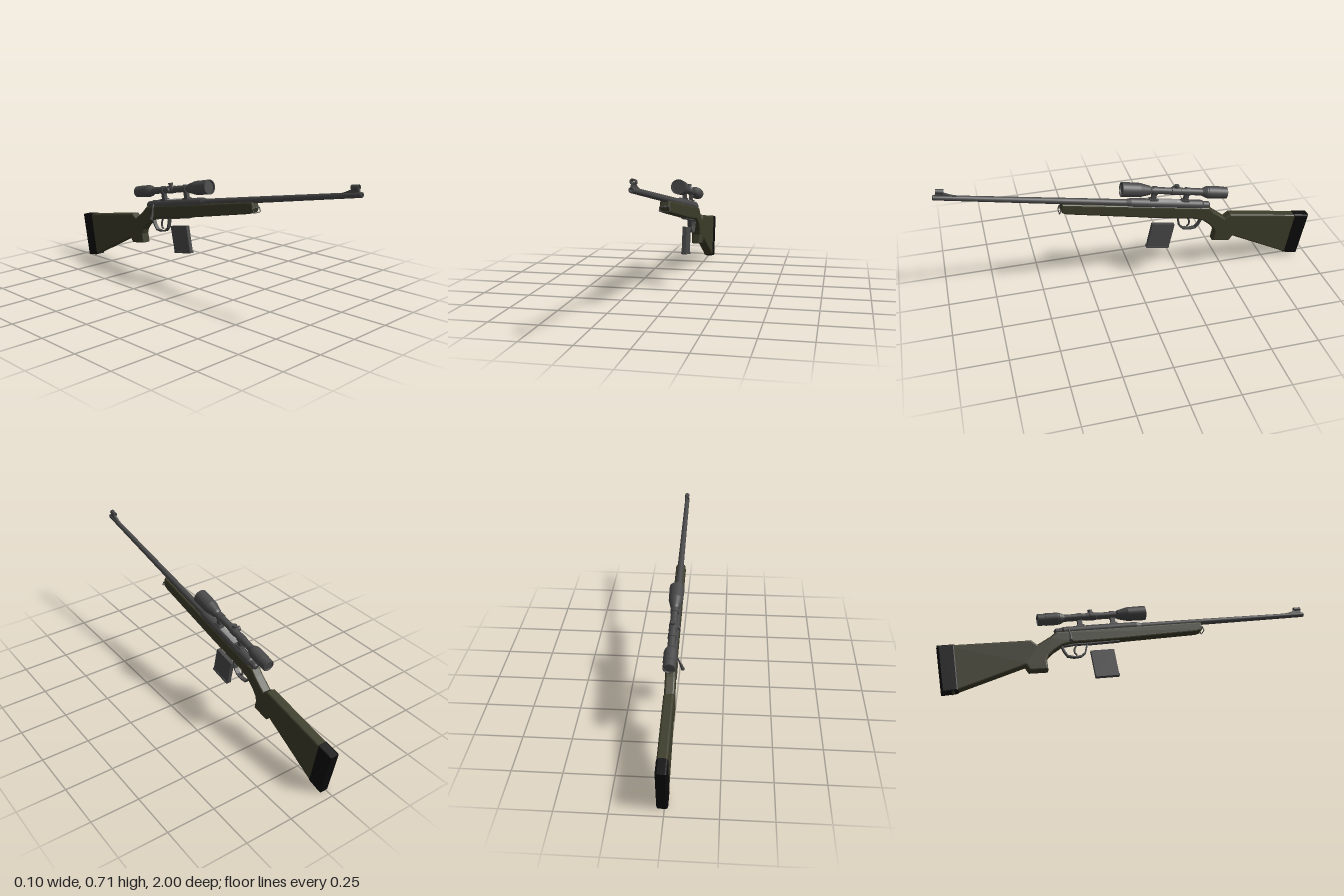
import * as THREE from 'three';

const mat = (name, color, side = THREE.FrontSide) => {
  const m = new THREE.MeshStandardMaterial({ color, side });
  m.name = name;
  return m;
};

export function createModel() {
  const metal = mat('gunmetal', 0x484848, THREE.DoubleSide);
  const olive = mat('olive stock', 0x3c3c2a);
  const black = mat('black rubber', 0x0b0b0b);
  const steel = mat('bright steel', 0x909090, THREE.DoubleSide);

  const model = new THREE.Group();
  model.name = 'rifle';
  const body = new THREE.Group(); // centre plane of the rifle
  body.name = 'body';
  body.position.x = 0.01;
  model.add(body);
  // Tilted frame whose z axis is the bore
  const bore = new THREE.Group();
  bore.name = 'boreAssembly';
  bore.position.y = 0.475;
  bore.rotation.x = -Math.atan(0.19);
  body.add(bore);

  const add = (parent, name, geo, material) => {
    const m = new THREE.Mesh(geo, material);
    m.name = name;
    parent.add(m);
    return m;
  };
  // Side profile of [z, y] points, extruded across x
  const plate = (pts, width, bevel = 0, grow = 0, hole = null) => {
    const shape = new THREE.Shape(pts.map(p => new THREE.Vector2(...p)));
    if (hole) shape.holes.push(new THREE.Path(hole.map(p => new THREE.Vector2(...p))));
    const depth = width - 2 * bevel;
    return new THREE.ExtrudeGeometry(shape, {
      depth, bevelEnabled: bevel > 0, bevelThickness: bevel, bevelSize: bevel,
      bevelOffset: grow - bevel, bevelSegments: 3,
    }).translate(0, 0, -depth / 2).rotateY(-Math.PI / 2);
  };
  // Turned part along z; each profile run is separate so its edges stay sharp
  const turned = (parent, name, pts, material, y = 0, seg = 24) => {
    const g = new THREE.Group();
    g.name = name;
    g.position.y = y;
    for (let i = 0; i < pts.length - 1; i++) {
      const run = [pts[i], pts[i + 1]].map(p => new THREE.Vector2(...p));
      add(g, name + 'Section', new THREE.LatheGeometry(run, seg).rotateX(Math.PI / 2), material);
    }
    parent.add(g);
    return g;
  };
  const tube = (parent, name, pts, r, material, closed = false, tension = 0.3) => add(parent, name,
    new THREE.TubeGeometry(new THREE.CatmullRomCurve3(pts.map(p => new THREE.Vector3(...p)),
      closed, 'catmullrom', tension), 40, r, 8, closed), material);

  // Stock and butt pad
  add(body, 'stock', plate([
    [0.378, 0.538], [0.388, 0.505], [0.38, 0.485], [0.356, 0.474], [-0.072, 0.383],
    [-0.233, 0.352], [-0.32, 0.337], [-0.375, 0.315], [-0.415, 0.281], [-0.44, 0.25],
    [-0.447, 0.225], [-0.437, 0.174], [-0.533, 0.158], [-0.554, 0.185], [-0.9, 0.008],
    [-0.94, 0.258], [-0.533, 0.329], [-0.502, 0.308], [-0.437, 0.361], [-0.41, 0.39],
  ], 0.052, 0.01), olive);
  add(body, 'buttPad', plate([
    [-0.913, 0.2635], [-0.871, 0.0205], [-0.95, 0.002], [-0.997, 0.248],
  ], 0.055, 0.01, 0.002), black);

  // Barrel and receiver
  turned(bore, 'barrel', [[0.018, 0], [0.0165, 0.38], [0.013, 1.012], [0.011, 1.016],
    [0.007, 1.016], [0.007, 0.98], [0, 0.98]], metal);
  turned(bore, 'receiver', [[0, -0.425], [0.012, -0.423], [0.019, -0.415], [0.02, -0.385],
    [0.025, -0.375], [0.025, 0.02], [0.018, 0.045]], metal);
  const port = new THREE.CylinderGeometry(0.0262, 0.0262, 0.12, 12, 1, true, -0.6, 1.2);
  add(bore, 'ejectionPortBolt', port.rotateX(-Math.PI / 2), steel).position.z = -0.19;

  // Bolt handle on the right side
  tube(body, 'boltHandle', [[0, 0.413, -0.347], [-0.026, 0.41, -0.345],
    [-0.036, 0.39, -0.34], [-0.045, 0.362, -0.335]], 0.0045, metal);
  const knob = add(body, 'boltKnob', new THREE.CylinderGeometry(0.006, 0.0095, 0.04, 14), metal);
  knob.position.set(-0.049, 0.352, -0.333);
  knob.rotation.z = -0.35;

  // Front sight
  add(bore, 'frontSightRamp', plate([[0.89, 0.011], [0.925, 0.016], [0.962, 0.026],
    [1.002, 0.025], [1.005, 0.008], [0.89, 0.008]], 0.013), metal);
  turned(bore, 'frontSightHood', [[0.0085, 0.966], [0.0125, 0.966], [0.0125, 1.004],
    [0.0085, 1.004], [0.0085, 0.966]], metal, 0.0345);
  add(bore, 'frontSightPost', new THREE.BoxGeometry(0.004, 0.014, 0.006), metal)
    .position.set(0, 0.03, 0.985);

  // Scope
  const scope = new THREE.Group();
  scope.name = 'scope';
  scope.position.y = 0.077;
  bore.add(scope);
  turned(scope, 'scopeTube', [
    [0, -0.494], [0.026, -0.494], [0.027, -0.502], [0.031, -0.5], [0.031, -0.385],
    [0.019, -0.36], [0.018, -0.08], [0.024, -0.07], [0.037, -0.015], [0.039, 0.083],
    [0.034, 0.083], [0.033, 0.073], [0, 0.073],
  ], metal, 0, 32);
  turned(scope, 'eyepieceRing', [[0.03, -0.462], [0.033, -0.46], [0.033, -0.395], [0.03, -0.39]], metal);
  turned(scope, 'turretCollar', [[0.017, -0.243], [0.021, -0.24], [0.021, -0.19], [0.017, -0.187]], metal);
  const turret = (name, angle) => {
    const g = new THREE.Group();
    g.name = name;
    g.position.z = -0.215;
    g.rotation.z = angle;
    add(g, name + 'Base', new THREE.CylinderGeometry(0.009, 0.009, 0.03, 16), metal).position.y = 0.015;
    add(g, name + 'Cap', new THREE.CylinderGeometry(0.013, 0.013, 0.012, 16), metal).position.y = 0.03;
    scope.add(g);
  };
  turret('elevationTurret', 0);
  turret('windageTurret', Math.PI / 2);
  for (const z of [-0.1, -0.28]) {
    turned(scope, 'mountRing', [[0.017, z - 0.013], [0.022, z - 0.013], [0.022, z + 0.013],
      [0.017, z + 0.013]], metal);
    add(bore, 'mountPost', new THREE.BoxGeometry(0.02, 0.042, 0.024), metal).position.set(0, 0.042, z);
    add(bore, 'mountBase', new THREE.BoxGeometry(0.03, 0.01, 0.04), metal).position.set(0, 0.024, z);
  }

  // Trigger guard, trigger and floor plate
  add(body, 'triggerGuard', plate([
    [-0.236, 0.352], [-0.246, 0.293], [-0.268, 0.27], [-0.305, 0.261], [-0.342, 0.264],
    [-0.362, 0.288], [-0.378, 0.318], [-0.3, 0.342],
  ], 0.022, 0, 0, [
    [-0.244, 0.343], [-0.253, 0.297], [-0.272, 0.277], [-0.306, 0.268], [-0.338, 0.271],
    [-0.355, 0.291], [-0.367, 0.316], [-0.3, 0.336],
  ]), metal);
  tube(body, 'trigger', [[0, 0.34, -0.295], [0, 0.312, -0.306], [0, 0.292, -0.304],
    [0, 0.279, -0.293]], 0.005, metal);
  add(body, 'floorPlate', plate([[-0.07, 0.388], [-0.07, 0.379], [-0.245, 0.343], [-0.245, 0.356]],
    0.026), metal);

  // Detached box magazine
  add(body, 'magazine', plate([[-0.099, 0.33], [-0.222, 0.308], [-0.192, 0.168], [-0.07, 0.19]],
    0.022), metal);
  add(body, 'magazineBase', plate([[-0.068, 0.195], [-0.192, 0.173], [-0.19, 0.163], [-0.066, 0.185]],
    0.028), metal);

  // Sling loop under the fore-end tip
  tube(body, 'slingLoop', [[-0.024, 0.508, 0.386], [0.024, 0.508, 0.386],
    [0.025, 0.486, 0.394], [-0.025, 0.486, 0.394]], 0.0025, metal, true, 0.1);
  add(body, 'slingStud', new THREE.SphereGeometry(0.006, 12, 8), metal).position.set(0, 0.509, 0.388);

  return model;
}
